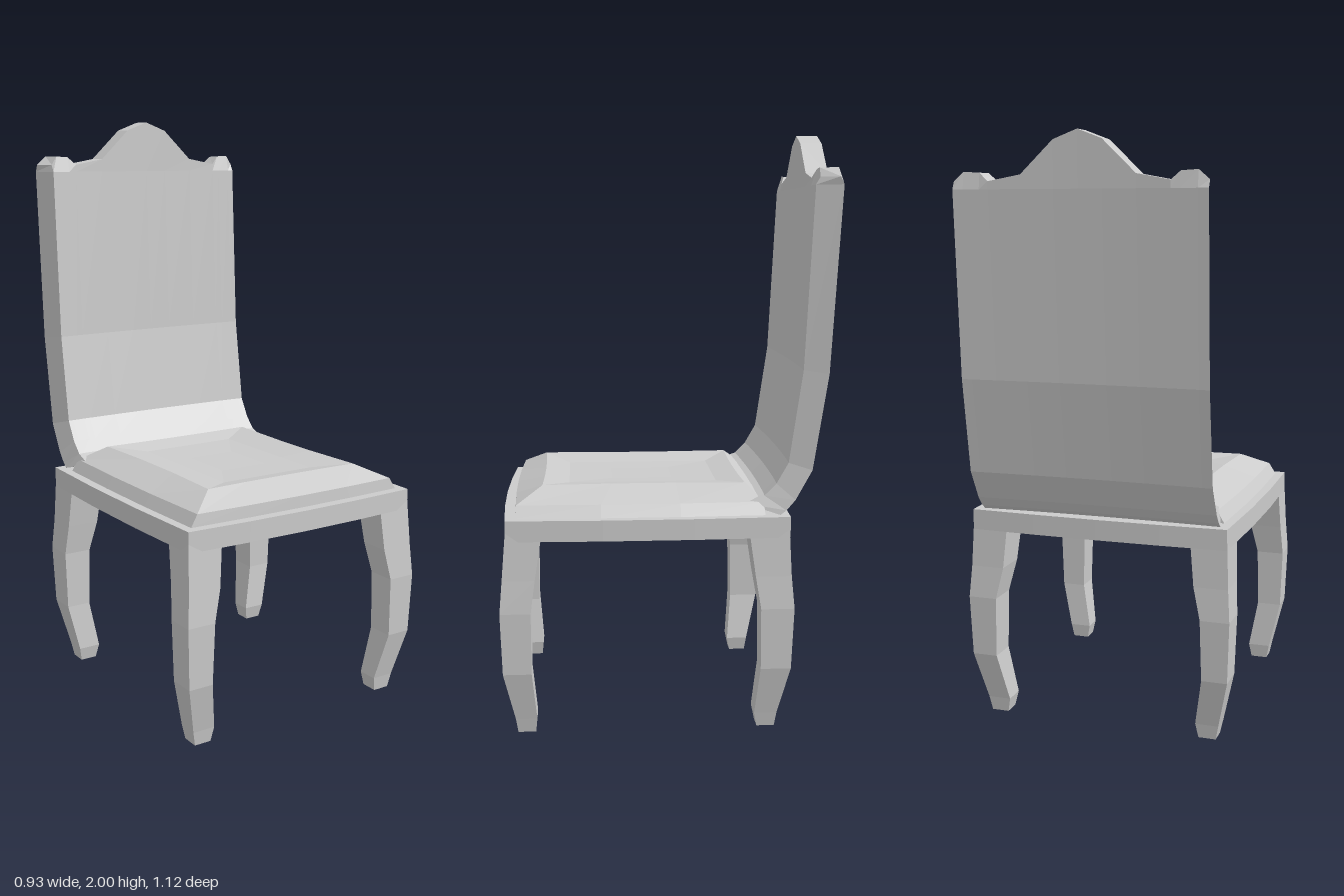
import * as THREE from 'three';

const material = new THREE.MeshStandardMaterial({ color: 0xcccccc, flatShading: true });

// Skin a stack of closed rings (front left-to-right, then back right-to-left), rising in y.
// Ends are capped by pairing each front point with the back point opposite it.
function loft(name, rings) {
  const pos = [];
  const quad = (a, b, c, d) => pos.push(...a, ...b, ...c, ...a, ...c, ...d);
  const n = rings[0].length;
  for (let k = 0; k < rings.length - 1; k++) {
    for (let i = 0; i < n; i++) {
      const j = (i + 1) % n;
      quad(rings[k][i], rings[k][j], rings[k + 1][j], rings[k + 1][i]);
    }
  }
  const low = rings[0], top = rings[rings.length - 1];
  for (let i = 0; i < n / 2 - 1; i++) {
    quad(top[i], top[i + 1], top[n - 2 - i], top[n - 1 - i]);
    quad(low[n - 1 - i], low[n - 2 - i], low[i + 1], low[i]);
  }
  const geometry = new THREE.BufferGeometry();
  geometry.setAttribute('position', new THREE.Float32BufferAttribute(pos, 3));
  geometry.computeVertexNormals();
  const mesh = new THREE.Mesh(geometry, material);
  mesh.name = name;
  return mesh;
}

// Rectangle with gently bowed edges
function bowedRing(y, halfWidth, zBack, zFront, bow) {
  const cols = [-1, -0.5, 0, 0.5, 1];
  const zAt = (t) => zBack + (zFront - zBack) * t;
  const side = halfWidth + bow.side;
  return [
    [-side, y, zAt(0.66)],
    ...cols.map((c) => [c * halfWidth, y, zFront + bow.front * (1 - c * c)]),
    [side, y, zAt(0.66)],
    [side, y, zAt(0.34)],
    ...cols.map((c) => [-c * halfWidth, y, zBack + bow.back * (1 - c * c)]),
    [-side, y, zAt(0.34)],
  ];
}

// Curved leg: y, inner x, outer x, then inner and outer z for a front and a back leg
const legSections = [
  [0.00, 0.35, 0.41, 0.45, 0.51, 0.30, 0.36],
  [0.05, 0.34, 0.42, 0.445, 0.517, 0.29, 0.367],
  [0.22, 0.37, 0.458, 0.46, 0.555, 0.305, 0.407],
  [0.43, 0.365, 0.465, 0.46, 0.562, 0.303, 0.415],
  [0.54, 0.34, 0.457, 0.445, 0.553, 0.285, 0.405],
  [0.70, 0.325, 0.45, 0.42, 0.54, 0.262, 0.397],
];

function leg(name, sx, sz) {
  return loft(name, legSections.map(([y, xi, xo, fi, fo, bi, bo]) => {
    const [x0, x1] = sx > 0 ? [xi, xo] : [-xo, -xi];
    const [z0, z1] = sz > 0 ? [fi, fo] : [-bo, -bi];
    return [[x0, y, z1], [x1, y, z1], [x1, y, z0], [x0, y, z0]];
  }));
}

function backrest() {
  // Crest outline: x and height, mirrored to both sides
  const half = [[0, 2], [0.08, 1.97], [0.19, 1.865], [0.3, 1.845], [0.33, 1.872], [0.385, 1.875], [0.42, 1.845]];
  const crest = [...half.slice(1).reverse().map(([x, y]) => [-x, y]), ...half];
  // Side profile: front z, front y, back z, back y
  const profile = [
    [-0.25, 0.775, -0.37, 0.74],
    [-0.32, 0.80, -0.39, 0.755],
    [-0.36, 0.84, -0.42, 0.79],
    [-0.40, 0.91, -0.475, 0.89],
    [-0.445, 1.22, -0.525, 1.21],
    [-0.474, 1.82, -0.56, 1.82],
  ];
  // The front is narrower at its edges than the back, and the panel is slightly hollow
  const frontX = (x) => x - 0.03 * Math.sign(x) * Math.abs(x / 0.42) ** 8;
  const bow = (x) => 0.01 * (1 - (x / 0.42) ** 2);
  const rings = profile.map(([fz, fy, bz, by]) => [
    ...crest.map(([x]) => [frontX(x), fy, fz - bow(x) * (fy < 1.5 ? 1 : 0.2)]),
    ...crest.map(([x]) => [-x, by, bz + bow(x)]),
  ]);
  // Top edge, with chamfered ears at the corners
  const ear = (x) => (Math.abs(x) > 0.32 ? 0.012 : 0);
  rings.push([
    ...crest.map(([x, y]) => [frontX(x), y, -0.476 - ear(x)]),
    ...crest.map(([x, y]) => [-x, y, -0.56 + Math.max(bow(x), ear(x))]),
  ]);
  return loft('backrest', rings);
}

export function createModel() {
  const chair = new THREE.Group();
  chair.name = 'chair';

  // Legs
  for (const sx of [1, -1]) {
    const side = sx > 0 ? 'Left' : 'Right';
    chair.add(leg(`front${side}Leg`, sx, 1), leg(`back${side}Leg`, sx, -1));
  }

  // Seat frame
  const frameBow = { side: 0.01, front: 0.015, back: -0.01 };
  chair.add(loft('seatFrame', [0.67, 0.74].map((y) => bowedRing(y, 0.45, -0.4, 0.54, frameBow))));

  // Cushion with a sloped border and a shallow dip in the middle
  const cushionBow = { side: 0.007, front: 0.01, back: -0.008 };
  chair.add(loft('cushion', [
    bowedRing(0.74, 0.42, -0.32, 0.508, cushionBow),
    bowedRing(0.78, 0.395, -0.318, 0.505, cushionBow),
    bowedRing(0.827, 0.3, -0.265, 0.42, { side: -0.01, front: -0.006, back: 0.006 }),
    bowedRing(0.81, 0.18, -0.18, 0.33, { side: 0, front: 0, back: 0 }),
    bowedRing(0.805, 0.09, -0.03, 0.18, { side: 0, front: 0, back: 0 }),
  ]));

  // Back
  chair.add(backrest());
  return chair;
}
